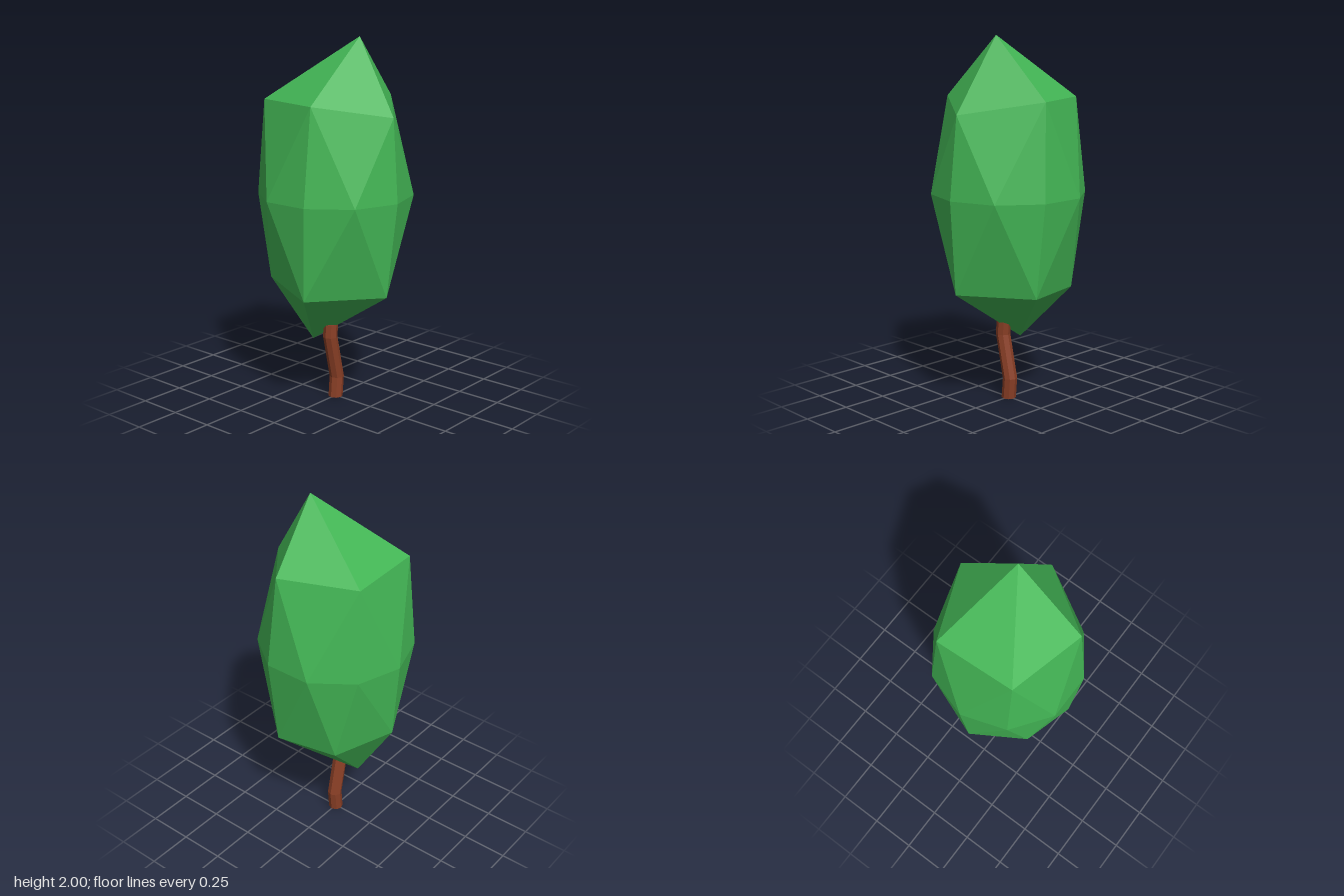
import * as THREE from 'three';
import { ConvexGeometry } from 'three/addons/geometries/ConvexGeometry.js';

const material = (color) => new THREE.MeshStandardMaterial({ color, flatShading: true });

// Faceted crown: tip, five-point shoulder, regular ten-point girdle, six-point lower ring, bottom point
function crownGeometry() {
  const points = [
    [0.04, 2, 0.13],
    [0.01, 1.6, 0.38], [0.36, 1.67, 0.09], [0.2, 1.67, -0.31], [-0.24, 1.67, -0.29], [-0.345, 1.67, 0.13],
    [-0.02, 0.65, 0.37], [0.34, 0.65, 0.13], [0.27, 0.65, -0.21],
    [-0.01, 0.72, -0.38], [-0.29, 0.72, -0.21], [-0.36, 0.65, 0.09],
    [-0.04, 0.32, -0.13],
  ].map((p) => new THREE.Vector3(...p));
  for (let i = 0; i < 10; i++) {
    const a = (i * Math.PI) / 5;
    points.push(new THREE.Vector3(0.42 * Math.sin(a), 1.16, 0.42 * Math.cos(a)));
  }
  return new ConvexGeometry(points);
}

// Bent trunk: each ring of a cylinder is moved to its place on the path
function trunkGeometry() {
  const path = [[0, 0], [0.01, 0.115], [-0.045, 0.36], [-0.04, 0.435]];
  const geometry = new THREE.CylinderGeometry(0.04, 0.04, 3, 8, 3);
  const pos = geometry.attributes.position;
  for (let i = 0; i < pos.count; i++) {
    const [x, y] = path[Math.round(pos.getY(i) + 1.5)];
    pos.setX(i, pos.getX(i) + x);
    pos.setY(i, y);
  }
  geometry.computeVertexNormals();
  return geometry;
}

export function createModel() {
  const tree = new THREE.Group();
  tree.name = 'tree';
  const crown = new THREE.Mesh(crownGeometry(), material(0x43b655));
  crown.name = 'crown';
  const trunk = new THREE.Mesh(trunkGeometry(), material(0x8a3f26));
  trunk.name = 'trunk';
  tree.add(crown, trunk);
  return tree;
}
